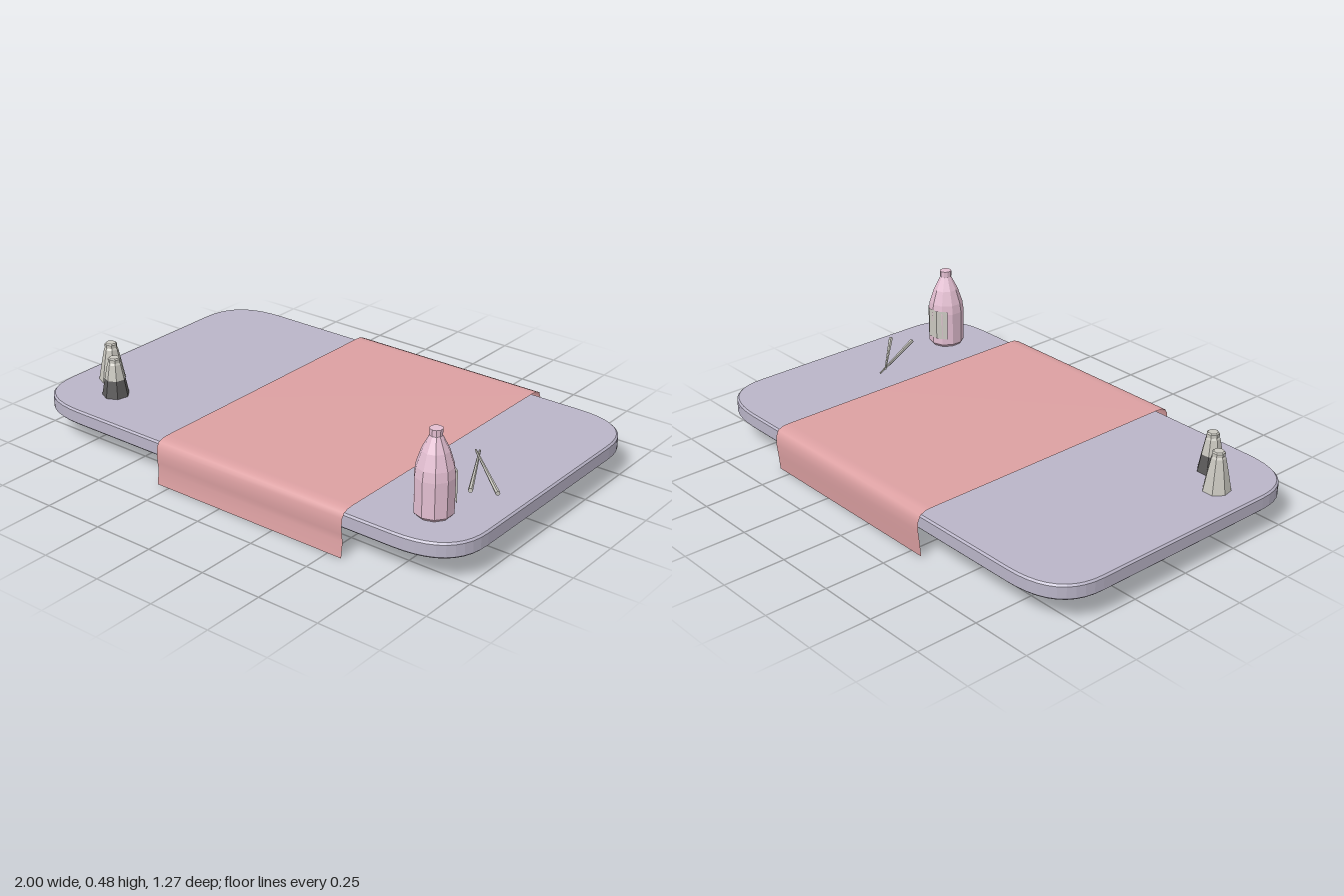
import * as THREE from 'three';

const paint = (name, color, extra = {}) => {
  const m = new THREE.MeshStandardMaterial({ color, ...extra });
  m.name = name;
  return m;
};

export function createModel() {
  const lavender = paint('lavender', 0xbab5c8);
  const rose = paint('rose cloth', 0xdca0a2, { side: THREE.DoubleSide });
  const pink = paint('pink', 0xe4bfd2, { flatShading: true });
  const grey = paint('warm grey', 0xcac8c0, { flatShading: true, side: THREE.DoubleSide });
  const dark = paint('dark grey', 0x5c5a5a, { flatShading: true });

  const model = new THREE.Group();
  const add = (name, geometry, material, parent = model) => {
    const mesh = new THREE.Mesh(geometry, material);
    mesh.name = name;
    parent.add(mesh);
    return mesh;
  };
  const group = (name, x, y, z) => {
    const g = new THREE.Group();
    g.name = name;
    g.position.set(x, y, z);
    model.add(g);
    return g;
  };
  const lathe = (points, sides, ...arc) =>
    new THREE.LatheGeometry(points.map(([r, y]) => new THREE.Vector2(r, y)), sides, ...arc);

  // Table top with soft, wide corners
  const bevel = 0.007, X = 1 - bevel, Z = 0.608 - bevel;
  const outline = new THREE.Shape();
  outline.moveTo(-0.75, -Z);
  outline.lineTo(0.75, -Z);
  outline.quadraticCurveTo(X, -Z, X, -0.4);
  outline.lineTo(X, 0.4);
  outline.quadraticCurveTo(X, Z, 0.75, Z);
  outline.lineTo(-0.75, Z);
  outline.quadraticCurveTo(-X, Z, -X, 0.4);
  outline.lineTo(-X, -0.4);
  outline.quadraticCurveTo(-X, -Z, -0.75, -Z);
  const board = new THREE.ExtrudeGeometry(outline, {
    depth: 0.061 - 2 * bevel, bevelSize: bevel, bevelThickness: bevel, bevelSegments: 1, curveSegments: 10,
  });
  board.rotateX(-Math.PI / 2).translate(0, 0.097 + bevel, -0.003);
  add('tableTop', board, lavender);

  // Runner cloth: a thin sheet following a z, y profile from back to front
  const drape = [
    [-0.622, 0.0], [-0.628, 0.06], [-0.634, 0.11], [-0.632, 0.145], [-0.622, 0.168], [-0.6, 0.178], [-0.57, 0.18],
    [0.57, 0.18], [0.598, 0.178], [0.619, 0.17], [0.63, 0.153], [0.633, 0.12], [0.631, 0.09], [0.627, 0.06], [0.635, 0.0],
  ];
  const cloth = new THREE.PlaneGeometry(0.865, 1, 1, drape.length - 1);
  const pos = cloth.attributes.position;
  for (let i = 0; i < pos.count; i++) {
    const [z, y] = drape[Math.floor(i / 2)];
    pos.setXYZ(i, pos.getX(i) + 0.1275, y, z);
  }
  cloth.computeVertexNormals();
  add('tableRunner', cloth, rose);

  // Bottle with a label on its back
  const bottle = group('bottle', 0.785, 0.158, 0.41);
  add('bottleBody', lathe([
    [0, 0], [0.062, 0], [0.073, 0.012], [0.074, 0.15], [0.069, 0.187],
    [0.05, 0.245], [0.023, 0.298], [0.02, 0.302], [0, 0.302],
  ], 10), pink, bottle);
  add('bottleCap', lathe([[0, 0.3], [0.024, 0.3], [0.024, 0.325], [0, 0.325]], 10), pink, bottle);
  add('bottleLabel', lathe([[0.077, 0.04], [0.077, 0.165]], 3, Math.PI * 0.7, Math.PI * 0.6), grey, bottle);

  // Salt and pepper shakers
  const shaker = (name, x, z, lower) => {
    const g = group(name, x, 0.158, z);
    add('shakerLower', lathe([[0, 0], [0.054, 0], [0.041, 0.07]], 7), lower, g);
    add('shakerUpper', lathe([[0.041, 0.07], [0.028, 0.132], [0.021, 0.142]], 7), grey, g);
    add('shakerCap', lathe([[0, 0.14], [0.025, 0.14], [0.025, 0.153], [0.02, 0.158], [0, 0.158]], 7), grey, g);
  };
  shaker('saltShaker', -0.853, 0.31, grey);
  shaker('pepperShaker', -0.74, 0.405, dark);

  // Crossed chopsticks, tapering to the tip
  const stick = (name, tip, butt) => {
    const a = new THREE.Vector3(...tip), b = new THREE.Vector3(...butt);
    const dir = b.clone().sub(a);
    const mesh = add(name, new THREE.CylinderGeometry(0.009, 0.004, dir.length(), 6), grey);
    mesh.position.copy(a).add(b).multiplyScalar(0.5);
    mesh.quaternion.setFromUnitVectors(new THREE.Vector3(0, 1, 0), dir.normalize());
  };
  stick('chopstickA', [0.674, 0.184, -0.035], [0.825, 0.19, 0.25]);
  stick('chopstickB', [0.672, 0.196, -0.01], [0.908, 0.187, 0.203]);

  return model;
}
